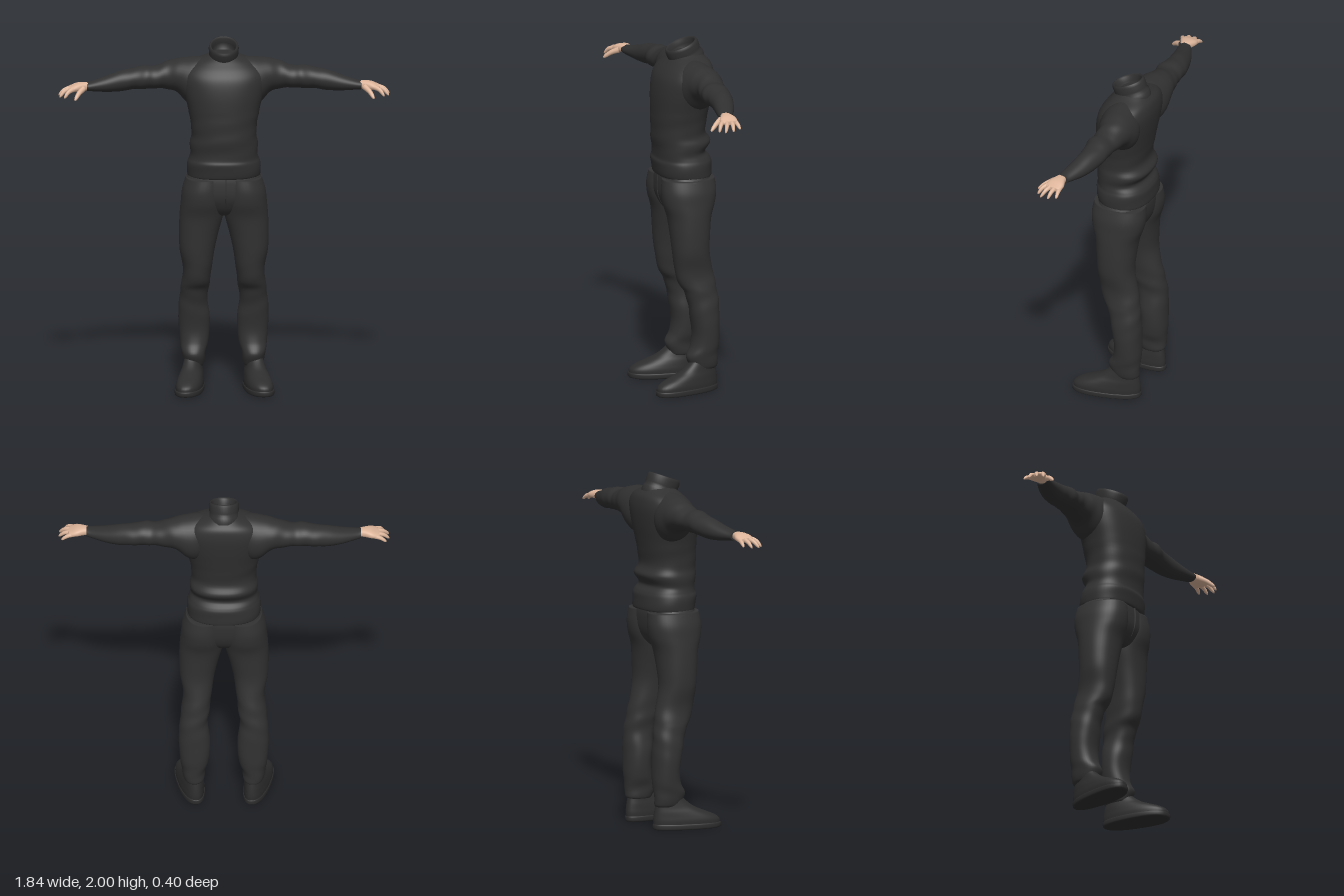
import * as THREE from 'three';

const sweaterMat = new THREE.MeshStandardMaterial({ color: 0x303030 });
sweaterMat.name = 'charcoal knit';
const trouserMat = new THREE.MeshStandardMaterial({ color: 0x323232 });
trouserMat.name = 'charcoal cloth';
const shoeMat = new THREE.MeshStandardMaterial({ color: 0x2d2d2d });
shoeMat.name = 'black leather';
const skinMat = new THREE.MeshStandardMaterial({ color: 0xdcb49a });
skinMat.name = 'skin';

// Smooth interpolation through a list of number rows, u in 0..1
function sample(rows, u) {
  const f = u * (rows.length - 1);
  const i = Math.min(Math.floor(f), rows.length - 2);
  const t = f - i;
  const at = k => rows[Math.max(0, Math.min(rows.length - 1, k))];
  return rows[i].map((_, c) => {
    const [a, b, d, e] = [at(i - 1)[c], at(i)[c], at(i + 1)[c], at(i + 2)[c]];
    return b + 0.5 * t * (d - a + t * (2 * a - 5 * b + 4 * d - e + t * (3 * (b - d) + e - a)));
  });
}

// Capped loft through rounded sections.
// axis 'y': rows are [y, x0, x1, z0, z1]; axis 'x': rows are [x, z0, z1, y0, y1]
function loft(rows, { axis = 'y', power = 2, steps = 6, sides = 40, fold = () => 0 } = {}) {
  const rings = (rows.length - 1) * steps;
  const pos = [], index = [];
  const put = (t, a, b) => (axis === 'y' ? pos.push(a, t, b) : pos.push(t, b, a));
  const round = v => Math.sign(v) * Math.abs(v) ** (2 / power);
  for (let i = 0; i <= rings; i++) {
    const [t, a0, a1, b0, b1] = sample(rows, i / rings);
    for (let j = 0; j < sides; j++) {
      const ang = (j / sides) * Math.PI * 2;
      const k = 0.5 * (1 + fold(t, ang));
      put(t, (a0 + a1) / 2 + (a1 - a0) * k * round(Math.cos(ang)),
        (b0 + b1) / 2 + (b1 - b0) * k * round(Math.sin(ang)));
      if (i < rings) {
        const p = i * sides + j, q = i * sides + (j + 1) % sides;
        index.push(p, p + sides, q + sides, p, q + sides, q);
      }
    }
  }
  // end caps
  [0, rings].forEach((ring, end) => {
    const r = rows[end ? rows.length - 1 : 0];
    const c = pos.length / 3;
    put(r[0], (r[1] + r[2]) / 2, (r[3] + r[4]) / 2);
    for (let j = 0; j < sides; j++) {
      const p = ring * sides + j, q = ring * sides + (j + 1) % sides;
      index.push(...(end ? [c, q, p] : [c, p, q]));
    }
  });
  const g = new THREE.BufferGeometry();
  g.setAttribute('position', new THREE.Float32BufferAttribute(pos, 3));
  g.setIndex(index);
  g.computeVertexNormals();
  return g;
}

// Tapered, round-tipped tube for fingers
function finger(points, radius) {
  const curve = new THREE.CatmullRomCurve3(points.map(p => new THREE.Vector3(...p)));
  const seg = 16, sides = 10;
  const g = new THREE.TubeGeometry(curve, seg, radius, sides);
  const p = g.attributes.position, v = new THREE.Vector3();
  for (let i = 0; i < p.count; i++) {
    const u = Math.floor(i / (sides + 1)) / seg;
    const c = curve.getPointAt(u);
    v.fromBufferAttribute(p, i).sub(c).multiplyScalar((1 - 0.4 * u) * Math.sqrt(1 - u ** 8)).add(c);
    p.setXYZ(i, v.x, v.y, v.z);
  }
  g.computeVertexNormals();
  return g;
}

// Copy reflected across x = 0 with its faces turned outward again
function mirrored(geometry) {
  const g = geometry.clone().scale(-1, 1, 1);
  const ix = g.index.array;
  for (let i = 0; i < ix.length; i += 3) [ix[i], ix[i + 1]] = [ix[i + 1], ix[i]];
  g.computeVertexNormals();
  return g;
}

export function createModel() {
  const model = new THREE.Group();
  const add = (name, geometry, material) => {
    const m = new THREE.Mesh(geometry, material);
    m.name = name;
    model.add(m);
    return m;
  };
  const addPair = (name, geometry, material) => {
    add('left' + name, geometry, material);
    add('right' + name, mirrored(geometry), material);
  };

  // Sweater body, from ribbed hem to the base of the neck
  add('sweaterBody', loft([
    [1.225, -0.195, 0.195, -0.178, 0.108], [1.235, -0.205, 0.205, -0.187, 0.118],
    [1.3, -0.203, 0.203, -0.187, 0.13], [1.33, -0.195, 0.195, -0.175, 0.122],
    [1.365, -0.186, 0.186, -0.152, 0.123], [1.42, -0.19, 0.19, -0.182, 0.13],
    [1.48, -0.18, 0.18, -0.154, 0.132], [1.6, -0.198, 0.198, -0.17, 0.132],
    [1.7, -0.222, 0.222, -0.187, 0.127], [1.78, -0.235, 0.235, -0.196, 0.112],
    [1.83, -0.222, 0.222, -0.194, 0.085], [1.87, -0.175, 0.175, -0.183, 0.05],
    [1.9, -0.105, 0.105, -0.155, 0.02], [1.92, -0.065, 0.065, -0.13, 0],
  ], { power: 2.3, sides: 56, fold: (y, a) => (y < 1.6 ? 0.008 * Math.sin(y * 60 + a * 2) : 0) }), sweaterMat);

  // Rolled turtleneck collar, tipped forward, with an open top
  const collar = add('collar', new THREE.LatheGeometry([
    [0.088, -0.05], [0.09, -0.035], [0.088, -0.012], [0.08, 0], [0.083, 0.012], [0.084, 0.045],
    [0.08, 0.06], [0.074, 0.063], [0.068, 0.055], [0.064, 0.03], [0.062, -0.02], [0, -0.025],
  ].map(p => new THREE.Vector2(...p)), 40), sweaterMat);
  collar.scale.z = 1.17;
  collar.rotation.x = 0.36;
  collar.position.set(0, 1.907, -0.05);

  // Sleeves
  addPair('Sleeve', loft([
    [0.09, -0.15, 0.03, 1.66, 1.895], [0.15, -0.178, 0.055, 1.62, 1.893], [0.205, -0.182, 0.045, 1.635, 1.888],
    [0.26, -0.175, 0.02, 1.69, 1.88], [0.32, -0.162, 0.0, 1.708, 1.863], [0.39, -0.148, 0.005, 1.714, 1.838],
    [0.44, -0.142, 0.008, 1.71, 1.842], [0.5, -0.14, 0.0, 1.71, 1.83], [0.58, -0.12, 0.004, 1.7, 1.815],
    [0.66, -0.092, 0.017, 1.702, 1.79], [0.74, -0.053, 0.031, 1.712, 1.768], [0.765, -0.04, 0.034, 1.715, 1.765],
  ], { axis: 'x', fold: (x, a) => 0.022 * Math.sin(x * 75 + a * 2) * Math.exp(-(((x - 0.4) / 0.13) ** 2)) }), sweaterMat);

  // Hands: palm, four fingers and thumb
  addPair('Palm', loft([
    [0.74, -0.025, 0.022, 1.722, 1.76], [0.78, -0.03, 0.036, 1.718, 1.766], [0.82, -0.042, 0.055, 1.715, 1.762],
    [0.85, -0.04, 0.057, 1.715, 1.75], [0.868, -0.03, 0.045, 1.72, 1.742],
  ], { axis: 'x', power: 2.4, sides: 24 }), skinMat);
  const digits = {
    Thumb: [[0.785, 1.735, 0.035], [0.812, 1.715, 0.075], [0.835, 1.683, 0.113]],
    IndexFinger: [[0.835, 1.735, 0.042], [0.868, 1.722, 0.067], [0.893, 1.69, 0.085]],
    MiddleFinger: [[0.84, 1.736, 0.02], [0.888, 1.723, 0.038], [0.919, 1.69, 0.057]],
    RingFinger: [[0.84, 1.735, -0.004], [0.89, 1.722, 0.003], [0.922, 1.693, 0.01]],
    LittleFinger: [[0.83, 1.734, -0.026], [0.875, 1.722, -0.031], [0.907, 1.7, -0.035]],
  };
  for (const [name, points] of Object.entries(digits)) {
    addPair(name, finger(points, name === 'Thumb' ? 0.017 : 0.0145), skinMat);
  }

  // Trouser seat
  add('trouserSeat', loft([
    [1.25, -0.19, 0.19, -0.17, 0.105], [1.2, -0.217, 0.217, -0.177, 0.113], [1.12, -0.222, 0.222, -0.168, 0.112],
    [1.06, -0.17, 0.17, -0.145, 0.09], [1.02, -0.09, 0.09, -0.11, 0.06], [1.005, -0.04, 0.04, -0.08, 0.03],
  ].reverse(), { power: 2.4 }), trouserMat);
  // Fly seam
  add('flySeam', new THREE.TubeGeometry(new THREE.CatmullRomCurve3([
    [1.23, 0.112], [1.17, 0.114], [1.11, 0.11], [1.06, 0.089],
  ].map(([y, z]) => new THREE.Vector3(0.008, y, z))), 16, 0.004, 8), trouserMat);

  // Trouser legs with knee and ankle folds
  addPair('TrouserLeg', loft([
    [0.13, 0.113, 0.212, -0.17, -0.03], [0.145, 0.107, 0.222, -0.18, -0.02], [0.2, 0.1, 0.235, -0.18, -0.002],
    [0.26, 0.085, 0.242, -0.187, -0.028], [0.33, 0.077, 0.248, -0.188, -0.038], [0.42, 0.077, 0.252, -0.188, -0.026],
    [0.5, 0.09, 0.247, -0.186, -0.012], [0.57, 0.082, 0.24, -0.178, 0.008], [0.62, 0.076, 0.233, -0.172, 0.04],
    [0.7, 0.066, 0.228, -0.155, 0.06], [0.8, 0.052, 0.246, -0.136, 0.073], [0.9, 0.03, 0.25, -0.14, 0.082],
    [1.0, 0.004, 0.247, -0.152, 0.094], [1.08, -0.004, 0.24, -0.178, 0.118], [1.15, -0.004, 0.232, -0.188, 0.125],
    [1.22, -0.004, 0.21, -0.182, 0.116],
  ], {
    power: 2.2,
    fold: (y, a) => 0.022 * Math.sin(y * 55 + a * 2)
      * (Math.exp(-(((y - 0.55) / 0.12) ** 2)) + Math.exp(-(((y - 0.2) / 0.06) ** 2))),
  }), trouserMat);

  // Shoes: low rounded uppers, splayed outward and narrowed at the heel
  const shape = g => {
    const p = g.attributes.position;
    for (let i = 0; i < p.count; i++) {
      const z = p.getZ(i);
      const width = 0.9 + 0.6 * Math.min(0.2, Math.max(-0.2, z));
      p.setX(i, p.getX(i) * width + 0.186 + 0.17 * z);
    }
    g.computeVertexNormals();
    return g;
  };
  addPair('Sole', shape(loft([
    [0, -0.075, 0.075, -0.175, 0.185], [0.006, -0.083, 0.083, -0.185, 0.198], [0.026, -0.084, 0.084, -0.186, 0.2],
    [0.032, -0.08, 0.08, -0.182, 0.196],
  ], { power: 2.4, steps: 3 })), shoeMat);
  addPair('Shoe', shape(loft([
    [0.02, -0.079, 0.079, -0.182, 0.195], [0.05, -0.08, 0.08, -0.184, 0.192], [0.075, -0.076, 0.076, -0.182, 0.16],
    [0.1, -0.07, 0.07, -0.178, 0.1], [0.125, -0.062, 0.062, -0.173, 0.045], [0.16, -0.055, 0.055, -0.165, -0.002],
    [0.19, -0.05, 0.05, -0.155, -0.03],
  ], { power: 2.3 })), shoeMat);

  return model;
}
